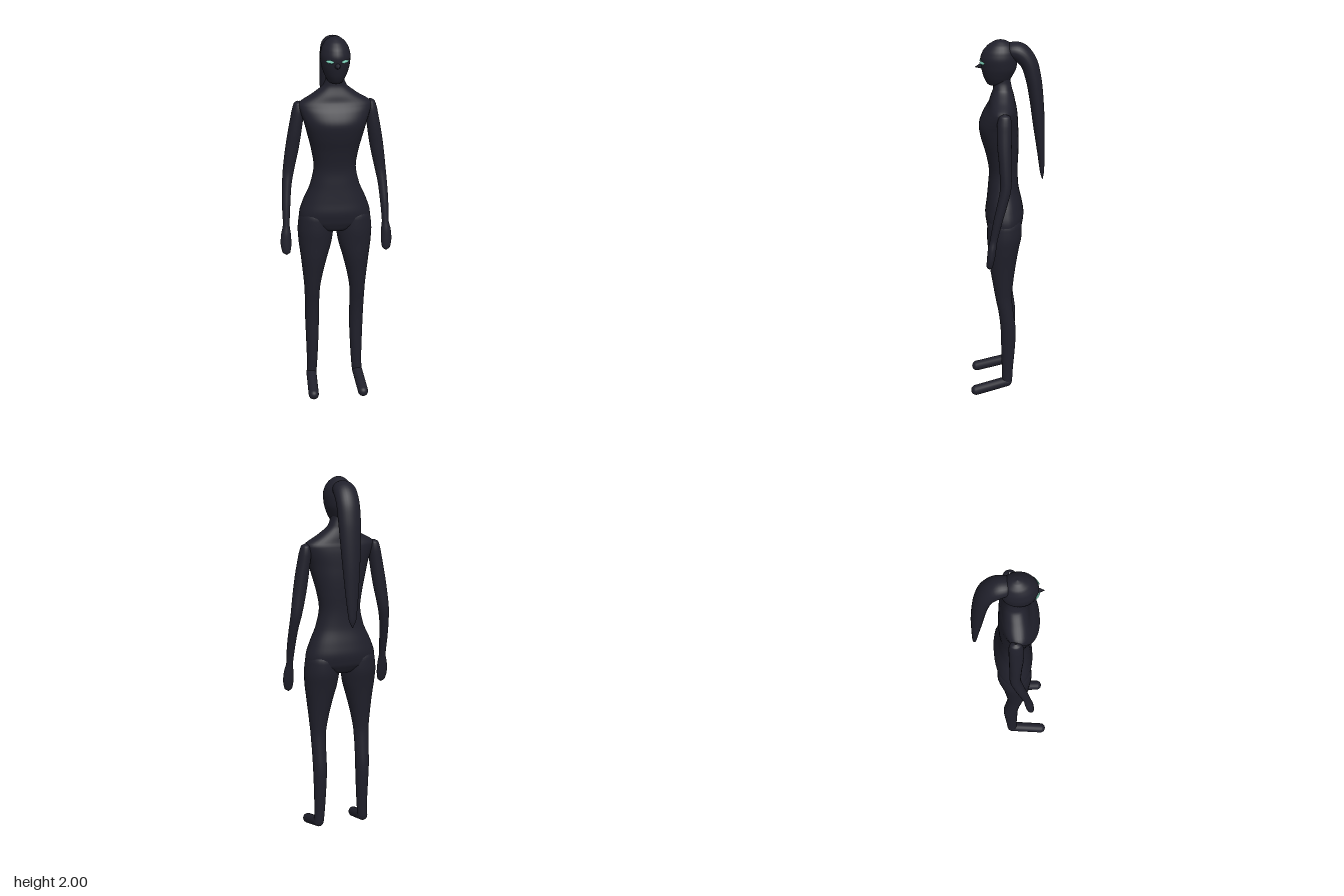
import * as THREE from 'three';

const skin = new THREE.MeshStandardMaterial({ color: 0x20202b });
skin.name = 'dark skin';
const glow = new THREE.MeshStandardMaterial({ color: 0x84dcc4 });
glow.name = 'pale teal';

// Smooth tube through rows of [x, y, z, halfWidth, halfDepth].
// Rings lie flat unless follow is set; power below 1 squares the section.
function loft(rows, { follow = false, power = 1, sides = 28, steps = 5 } = {}) {
  const path = new THREE.CatmullRomCurve3(rows.map(r => new THREE.Vector3(r[0], r[1], r[2])));
  const radii = new THREE.CatmullRomCurve3(rows.map(r => new THREE.Vector3(r[3], r[4], 0)));
  const n = (rows.length - 1) * steps;
  const up = Math.sign(rows[rows.length - 1][1] - rows[0][1]);
  const u = new THREE.Vector3(1, 0, 0);
  const round = c => Math.sign(c) * Math.abs(c) ** power;
  const pos = [], index = [];
  for (let i = 0; i <= n; i++) {
    const c = path.getPoint(i / n), r = radii.getPoint(i / n);
    const t = follow ? path.getTangent(i / n) : new THREE.Vector3(0, up, 0);
    const v = t.cross(u).normalize();
    for (let j = 0; j < sides; j++) {
      const a = j / sides * Math.PI * 2;
      const p = c.clone()
        .addScaledVector(u, round(Math.cos(a)) * Math.max(r.x, 0.0005))
        .addScaledVector(v, round(Math.sin(a)) * Math.max(r.y, 0.0005));
      pos.push(p.x, p.y, p.z);
      if (i < n) {
        const k = (j + 1) % sides, b = i * sides, d = b + sides;
        index.push(b + j, b + k, d + j, b + k, d + k, d + j);
      }
    }
  }
  const g = new THREE.BufferGeometry();
  g.setAttribute('position', new THREE.Float32BufferAttribute(pos, 3));
  g.setIndex(index);
  g.computeVertexNormals();
  return g;
}

// Rows given as [y, halfWidth, zFront, zBack] on the centre line
const centred = rows => rows.map(([y, w, f, b]) => [0, y, (f + b) / 2, w, (f - b) / 2]);

export function createModel() {
  const model = new THREE.Group();
  const add = (name, geometry, material = skin) => {
    const m = new THREE.Mesh(geometry, material);
    m.name = name;
    model.add(m);
    return m;
  };

  // Torso from crotch to neck
  add('torso', loft(centred([
    [0.94, 0.02, 0.03, -0.01], [0.955, 0.1, 0.085, -0.055], [1.0, 0.192, 0.108, -0.083],
    [1.05, 0.19, 0.115, -0.09], [1.12, 0.167, 0.108, -0.08], [1.2, 0.132, 0.1, -0.063],
    [1.3, 0.112, 0.094, -0.058], [1.4, 0.126, 0.112, -0.062], [1.48, 0.146, 0.135, -0.063],
    [1.55, 0.164, 0.145, -0.06], [1.61, 0.184, 0.123, -0.056], [1.648, 0.19, 0.1, -0.05],
    [1.695, 0.12, 0.085, -0.04], [1.74, 0.062, 0.07, -0.028], [1.78, 0.047, 0.068, -0.02],
    [1.84, 0.045, 0.065, -0.015],
  ]), { power: 0.88, sides: 40 }));

  // Egg-shaped head with narrow chin
  add('head', loft(centred([
    [1.757, 0.004, 0.06, 0.03], [1.764, 0.034, 0.095, 0.0], [1.8, 0.056, 0.117, -0.025],
    [1.85, 0.073, 0.13, -0.05], [1.9, 0.078, 0.135, -0.055], [1.94, 0.07, 0.122, -0.05],
    [1.972, 0.051, 0.094, -0.03], [1.993, 0.024, 0.06, 0.003], [2.0, 0.001, 0.033, 0.031],
  ])));

  // Pointed beak-like nose
  const nose = new THREE.ConeGeometry(0.024, 0.06, 16);
  nose.rotateX(Math.PI / 2 + 0.2);
  nose.translate(0, 1.86, 0.136);
  add('nose', nose);

  // Ponytail arching over and hanging behind
  add('ponytail', loft([
    [0, 1.93, 0.01, 0.03, 0.03], [0, 1.94, -0.02, 0.052, 0.043], [0, 1.932, -0.065, 0.06, 0.05],
    [0, 1.885, -0.11, 0.061, 0.045], [0, 1.8, -0.137, 0.06, 0.041], [0, 1.7, -0.153, 0.056, 0.037],
    [0, 1.55, -0.168, 0.046, 0.031], [0, 1.4, -0.18, 0.034, 0.02], [0, 1.28, -0.188, 0.02, 0.011],
    [0, 1.24, -0.19, 0.002, 0.002],
  ], { follow: true }));

  for (const [side, s] of [['left', 1], ['right', -1]]) {
    const mirror = rows => rows.map(([x, ...rest]) => [x * s, ...rest]);

    // Arm with hand
    add(side + 'Arm', loft(mirror([
      [0.188, 1.66, 0.01, 0.003, 0.004], [0.19, 1.648, 0.01, 0.022, 0.028], [0.194, 1.6, 0.012, 0.033, 0.038],
      [0.21, 1.5, 0.012, 0.036, 0.037], [0.226, 1.4, 0.008, 0.036, 0.032], [0.246, 1.28, 0.006, 0.03, 0.029],
      [0.257, 1.2, 0.022, 0.025, 0.027], [0.264, 1.1, 0.047, 0.022, 0.024], [0.267, 1.0, 0.068, 0.018, 0.02],
      [0.27, 0.95, 0.077, 0.026, 0.022], [0.271, 0.9, 0.083, 0.029, 0.021], [0.27, 0.85, 0.09, 0.021, 0.016],
      [0.269, 0.835, 0.091, 0.002, 0.002],
    ]), { sides: 20 }));

    // Leg
    add(side + 'Leg', loft(mirror([
      [0.1, 1.1, 0.012, 0.05, 0.05], [0.102, 1.03, 0.012, 0.09, 0.09], [0.104, 0.96, 0.013, 0.096, 0.092],
      [0.107, 0.88, 0.018, 0.089, 0.082], [0.113, 0.8, 0.022, 0.073, 0.072], [0.12, 0.7, 0.021, 0.055, 0.057],
      [0.124, 0.6, 0.017, 0.042, 0.044], [0.124, 0.5, 0.003, 0.039, 0.04], [0.123, 0.4, -0.008, 0.038, 0.041],
      [0.123, 0.28, -0.007, 0.034, 0.037], [0.125, 0.15, -0.003, 0.029, 0.03], [0.129, 0.08, -0.001, 0.027, 0.028],
      [0.13, 0.06, 0, 0.008, 0.008],
    ])));

    // Foot
    const heel = new THREE.Vector3(0.13 * s, 0.08, 0);
    const toe = new THREE.Vector3(0.138 * s, 0.029, 0.171);
    const dir = toe.clone().sub(heel);
    const foot = add(side + 'Foot', new THREE.CapsuleGeometry(0.028, dir.length(), 8, 20));
    foot.position.copy(heel).add(toe).multiplyScalar(0.5);
    foot.quaternion.setFromUnitVectors(new THREE.Vector3(0, 1, 0), dir.normalize());

    // Eye
    const eye = add(side + 'Eye', new THREE.SphereGeometry(1, 20, 12), glow);
    eye.scale.set(0.024, 0.008, 0.0048);
    eye.position.set(0.039 * s, 1.885, 0.126);
    eye.rotation.set(0, 0.58 * s, 0.06 * s);
  }
  return model;
}
